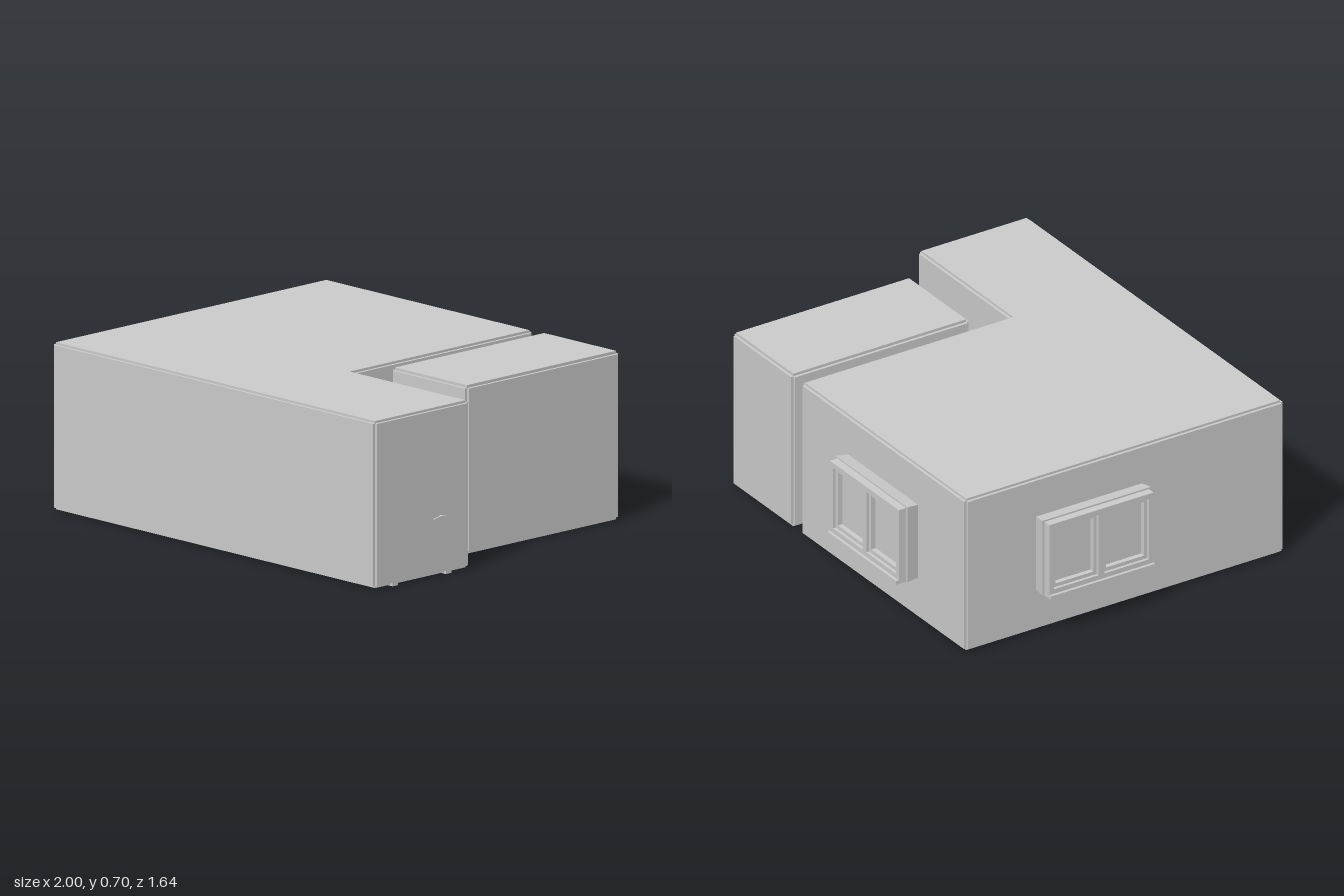
import * as THREE from 'three';

const material = new THREE.MeshStandardMaterial({ color: 0xcccccc, flatShading: true });

function add(parent, name, geometry) {
  const mesh = new THREE.Mesh(geometry, material);
  mesh.name = name;
  parent.add(mesh);
  return mesh;
}

// Box given by its minimum and maximum corners
function slab(parent, name, [x0, y0, z0], [x1, y1, z1]) {
  const g = new THREE.BoxGeometry(x1 - x0, y1 - y0, z1 - z0);
  g.translate((x0 + x1) / 2, (y0 + y1) / 2, (z0 + z1) / 2);
  return add(parent, name, g);
}

// Floor plan (x, z) extruded upwards from y0 to y1
function prism(parent, name, plan, y0, y1) {
  const shape = new THREE.Shape(plan.map(([x, z]) => new THREE.Vector2(x, -z)));
  const g = new THREE.ExtrudeGeometry(shape, { depth: y1 - y0, bevelEnabled: false });
  g.rotateX(-Math.PI / 2).translate(0, y0, 0);
  return add(parent, name, g);
}

function rectPath(Type, x0, y0, x1, y1) {
  return new Type([[x0, y0], [x1, y0], [x1, y1], [x0, y1]].map(p => new THREE.Vector2(...p)));
}

// Flat rectangular frame with rectangular openings
function frame(parent, name, outer, holes, z, depth) {
  const shape = rectPath(THREE.Shape, ...outer);
  shape.holes = holes.map(h => rectPath(THREE.Path, ...h));
  const g = new THREE.ExtrudeGeometry(shape, { depth, bevelEnabled: false });
  g.translate(0, 0, z);
  return add(parent, name, g);
}

// Two-pane window, facing local +z with its back on the wall
function makeWindow(name) {
  const win = new THREE.Group();
  win.name = name;

  // Casing that widens slightly away from the wall
  const casing = new THREE.BoxGeometry(0.51, 0.335, 0.06);
  casing.translate(0, 0.3575, 0.025);
  const p = casing.attributes.position;
  for (let i = 0; i < p.count; i++) {
    if (p.getZ(i) > 0) {
      p.setX(i, p.getX(i) * 1.03);
      if (p.getY(i) > 0.3) p.setY(i, 0.532);
    }
  }
  add(win, 'windowCasing', casing);

  const openings = [[-0.23, 0.225, -0.014, 0.502], [0.014, 0.225, 0.23, 0.502]];
  frame(win, 'windowFrame', [-0.252, 0.19, 0.252, 0.525], openings, 0.055, 0.035);
  for (const [x0, y0, x1, y1] of openings) {
    const b = 0.016;
    frame(win, 'windowSash', [x0, y0, x1, y1], [[x0 + b, y0 + b, x1 - b, y1 - b]], 0.055, 0.022);
  }
  slab(win, 'windowSill', [-0.252, 0.187, 0.05], [0.252, 0.204, 0.103]);
  return win;
}

export function createModel() {
  const model = new THREE.Group();
  const t = 0.012; // cladding thickness

  // L-shaped main room: full-height core with cladding that stops short of the corners
  const room = new THREE.Group();
  room.name = 'mainRoom';
  model.add(room);
  const plan = [[-0.888, 0.808], [0.965, 0.808], [0.965, 0.3], [0.292, 0.3], [0.292, -0.708], [-0.888, -0.708]];
  prism(room, 'roomCore', plan, 0.006, 0.7);
  plan.forEach(([ax, az], i) => {
    const [bx, bz] = plan[(i + 1) % plan.length];
    // Outward direction of this wall
    const len = Math.hypot(bx - ax, bz - az);
    const nx = -(bz - az) / len * t, nz = (bx - ax) / len * t;
    const xs = [ax, bx, ax + nx, bx + nx], zs = [az, bz, az + nz, bz + nz];
    slab(room, 'roomWall', [Math.min(...xs), 0.015, Math.min(...zs)], [Math.max(...xs), 0.69, Math.max(...zs)]);
  });

  // Separate side room, clad the same way
  const side = new THREE.Group();
  side.name = 'sideRoom';
  model.add(side);
  slab(side, 'sideCore', [0.377, 0.003, -0.708], [0.795, 0.703, 0.128]);
  slab(side, 'sideWallsX', [0.365, 0.015, -0.708], [0.807, 0.691, 0.128]);
  slab(side, 'sideWallsZ', [0.377, 0.015, -0.72], [0.795, 0.691, 0.14]);

  // Passage joining the two rooms
  slab(model, 'passage', [0.29, 0.012, -0.54], [0.38, 0.55, -0.21]);

  // Windows on the back and the right-hand walls
  const back = makeWindow('backWindow');
  back.position.set(-0.297, 0, -0.72);
  back.rotation.y = Math.PI;
  const end = makeWindow('endWindow');
  end.position.set(-0.9, 0, -0.122);
  end.rotation.y = -Math.PI / 2;
  model.add(back, end);

  // Feet of the door frame under the end wall
  for (const z of [0.39, 0.69]) slab(model, 'doorFrameFoot', [0.925, 0, z], [0.975, 0.015, z + 0.03]);

  // Door handle: short stem and a tapering lever
  const handle = new THREE.Group();
  handle.name = 'doorHandle';
  model.add(handle);
  const stem = new THREE.CylinderGeometry(0.007, 0.007, 0.022, 12);
  stem.rotateZ(Math.PI / 2).translate(0.985, 0.245, 0.452);
  add(handle, 'handleStem', stem);
  const lever = new THREE.Shape();
  lever.moveTo(-0.51, 0.246);
  lever.quadraticCurveTo(-0.47, 0.258, -0.442, 0.252);
  lever.lineTo(-0.442, 0.239);
  lever.quadraticCurveTo(-0.47, 0.234, -0.51, 0.246);
  const g = new THREE.ExtrudeGeometry(lever, { depth: 0.006, bevelEnabled: false, curveSegments: 6 });
  g.rotateY(Math.PI / 2).translate(0.994, 0, 0);
  add(handle, 'handleLever', g);

  return model;
}
